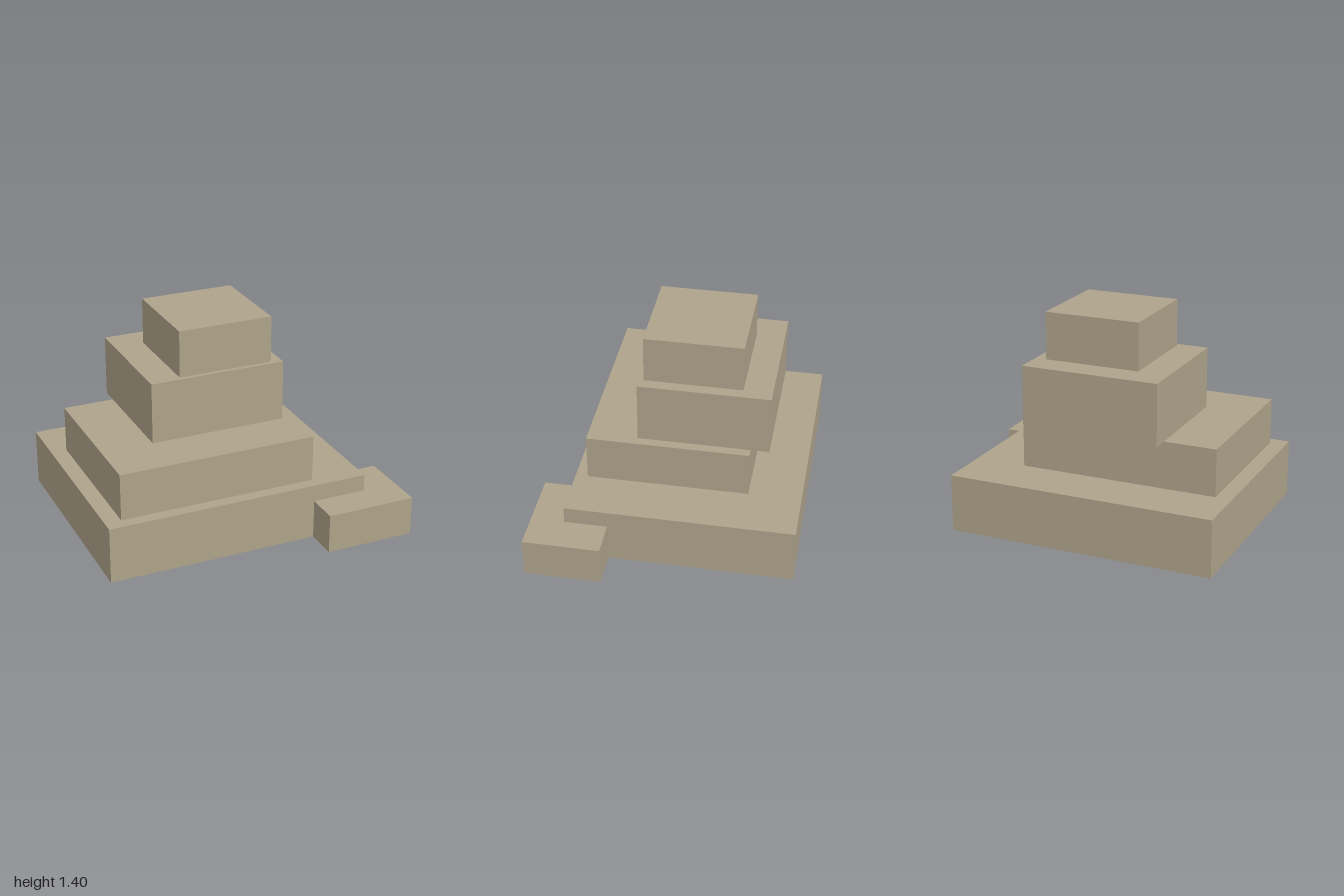
import * as THREE from 'three';

// Box between two corners, open underneath
function openBox(name, [x0, x1], [y0, y1], [z0, z1], material) {
  const geometry = new THREE.BoxGeometry(x1 - x0, y1 - y0, z1 - z0);
  // Drop the bottom face (fourth of the six)
  const index = Array.from(geometry.index.array);
  index.splice(18, 6);
  geometry.setIndex(index);
  geometry.clearGroups();
  const mesh = new THREE.Mesh(geometry, material);
  mesh.name = name;
  mesh.position.set((x0 + x1) / 2, (y0 + y1) / 2, (z0 + z1) / 2);
  return mesh;
}

export function createModel() {
  const model = new THREE.Group();
  model.name = 'steppedTower';
  const stone = new THREE.MeshStandardMaterial({ color: 0xaea38a, side: THREE.DoubleSide });
  stone.name = 'sandstone';

  // Name, x range, y range, z range
  const blocks = [
    ['baseTier', [-1, 0.765], [0, 0.375], [-0.85, 0.632]],
    ['secondTier', [-0.893, 0.422], [0.375, 0.685], [-0.505, 0.552]],
    ['thirdTier', [-0.55, 0.36], [0.685, 1.09], [-0.623, 0.226]],
    ['topTier', [-0.348, 0.285], [1.09, 1.4], [-0.437, 0.196]],
    ['cornerBlock', [0.4, 1], [0, 0.262], [0.352, 0.85]],
  ];
  for (const [name, x, y, z] of blocks) model.add(openBox(name, x, y, z, stone));
  return model;
}
